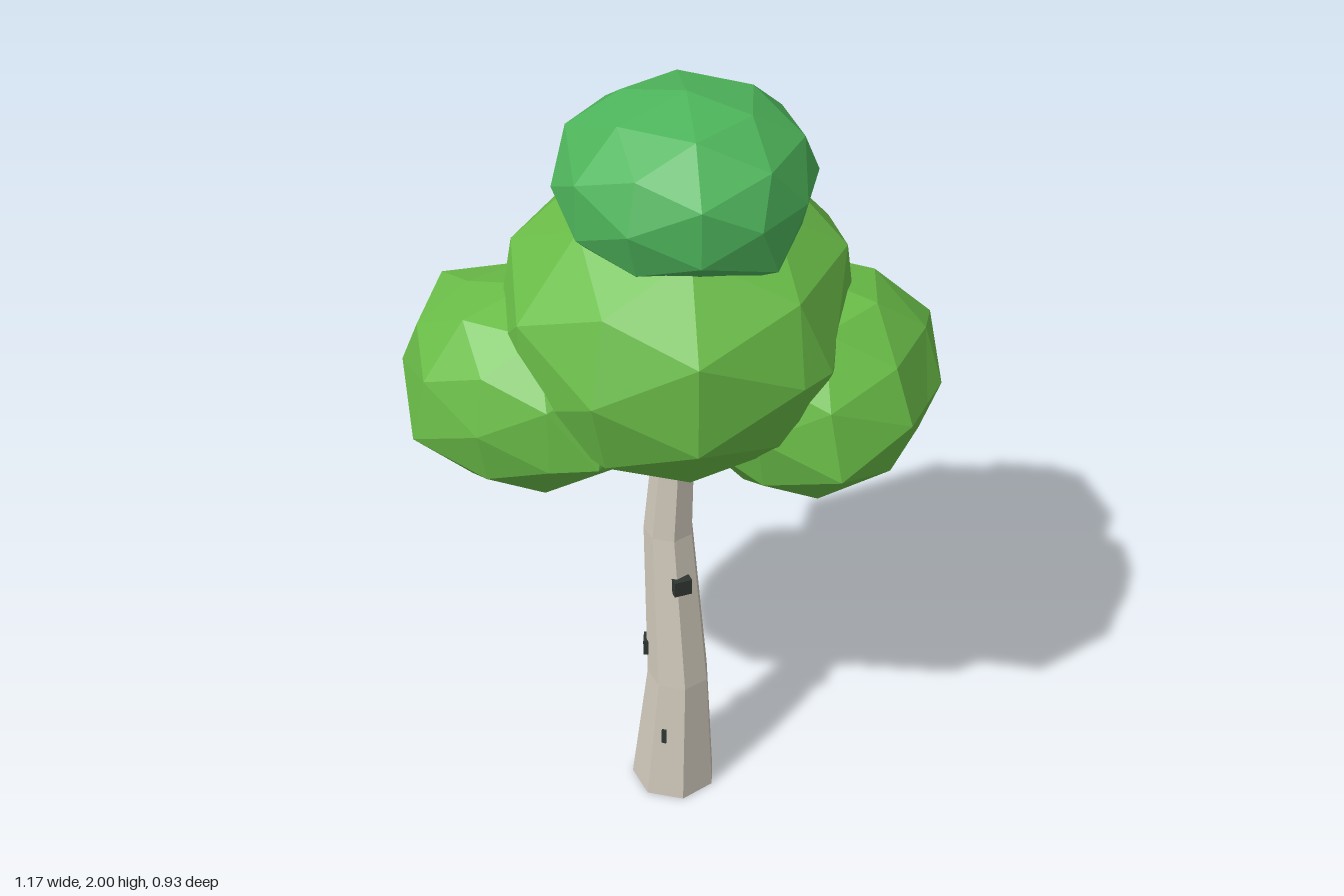
import * as THREE from 'three';

function paint(name, color) {
  const m = new THREE.MeshStandardMaterial({ color });
  m.name = name;
  return m;
}

// Lumpy low-poly ball: points between the main axes swell by `bulge`,
// and each nudge [direction, target] places one corner by hand
function leafClump(name, material, center, radii, bulge, nudges) {
  const geo = new THREE.IcosahedronGeometry(1, 1);
  const p = geo.attributes.position;
  const v = new THREE.Vector3();
  const c = new THREE.Vector3(...center);
  const corners = nudges.map(([dir, target]) => [
    new THREE.Vector3(...dir), new THREE.Vector3(...target).sub(c),
  ]);
  for (let i = 0; i < p.count; i++) {
    v.fromBufferAttribute(p, i);
    const corner = corners.find(([dir]) => dir.distanceTo(v) < 0.1);
    if (corner) {
      v.copy(corner[1]);
    } else {
      const offAxis = 1 - Math.max(Math.abs(v.x), Math.abs(v.y), Math.abs(v.z));
      v.multiplyScalar(1 + bulge * offAxis).multiply(new THREE.Vector3(...radii));
    }
    p.setXYZ(i, v.x, v.y, v.z);
  }
  geo.computeVertexNormals();
  const mesh = new THREE.Mesh(geo, material);
  mesh.name = name;
  mesh.position.copy(c);
  return mesh;
}

// Seven-sided trunk that leans and narrows ring by ring
function makeTrunk(material) {
  const rings = [ // y, centre x, centre z, radius
    [0, 0.002, 0.02, 0.111],
    [0.36, 0.016, 0.024, 0.08],
    [0.8, -0.018, 0.008, 0.063],
    [1.2, 0.008, 0.012, 0.047],
  ];
  const geo = new THREE.CylinderGeometry(1, 1, 3, 7, 3).toNonIndexed();
  geo.rotateY(THREE.MathUtils.degToRad(-15));
  const p = geo.attributes.position;
  for (let i = 0; i < p.count; i++) {
    const [y, cx, cz, r] = rings[Math.round(p.getY(i) + 1.5)];
    p.setXYZ(i, cx + p.getX(i) * r, y, cz + p.getZ(i) * r);
  }
  geo.computeVertexNormals();
  const mesh = new THREE.Mesh(geo, material);
  mesh.name = 'trunk';
  return mesh;
}

export function createModel() {
  const bark = paint('pale bark', 0xd0c9bb);
  const dark = paint('dark bark', 0x2f3632);
  const leaf = paint('leaf green', 0x6abd48);
  const crown = paint('crown green', 0x4eb55b);

  const tree = new THREE.Group();
  tree.name = 'tree';
  tree.add(makeTrunk(bark));

  // Bark knots: bars running through the trunk, with only their ends showing
  const knots = [ // x, y, z, width, length, turn
    [-0.006, 0.67, 0.013, 0.046, 0.155, Math.PI / 4],
    [-0.004, 0.435, 0.016, 0.04, 0.15, -1.18],
    [0.006, 0.2, 0.018, 0.012, 0.188, 0.08],
  ];
  for (const [x, y, z, width, length, turn] of knots) {
    const knot = new THREE.Mesh(new THREE.BoxGeometry(width, 0.043, length), dark);
    knot.name = 'barkKnot';
    knot.position.set(x, y, z);
    knot.rotation.y = turn;
    tree.add(knot);
  }

  // Foliage
  tree.add(
    leafClump('mainFoliage', leaf, [0, 1.42, -0.01], [0.43, 0.36, 0.458], 0.1, [
      [[-1, 0, 0], [-0.48, 1.42, -0.13]],
      [[1, 0, 0], [0.42, 1.42, 0.09]],
      [[-0.85, 0, 0.53], [-0.32, 1.42, 0.29]],
      [[0.85, 0, 0.53], [0.39, 1.42, 0.18]],
      [[0.85, 0, -0.53], [0.37, 1.42, -0.18]],
    ]),
    leafClump('rightFoliage', leaf, [-0.28, 1.28, 0.19], [0.3, 0.25, 0.275], 0.2, [
      [[-0.85, 0, 0.53], [-0.59, 1.29, 0.26]],
      [[-0.81, 0.5, -0.31], [-0.57, 1.44, 0.09]],
      [[-0.5, -0.31, 0.81], [-0.47, 1.2, 0.43]],
      [[0.85, 0, 0.53], [-0.02, 1.21, 0.38]],
    ]),
    leafClump('leftFoliage', leaf, [0.285, 1.255, -0.12], [0.295, 0.27, 0.305], 0.2, [
      [[0.85, 0, -0.53], [0.583, 1.26, -0.21]],
      [[0.85, 0, 0.53], [0.583, 1.26, -0.01]],
      [[0.5, -0.31, 0.81], [0.475, 1.17, 0.145]],
      [[0.5, 0.31, -0.81], [0.49, 1.34, -0.38]],
    ]),
    leafClump('topFoliage', crown, [0.033, 1.79, 0.025], [0.29, 0.21, 0.3], 0.15, [
      [[-0.81, 0.5, 0.31], [-0.235, 1.89, 0.08]],
      [[0.5, 0.31, -0.81], [0.14, 1.86, -0.265]],
      [[0.81, -0.5, 0.31], [0.3, 1.67, 0.13]],
    ]),
  );
  return tree;
}
